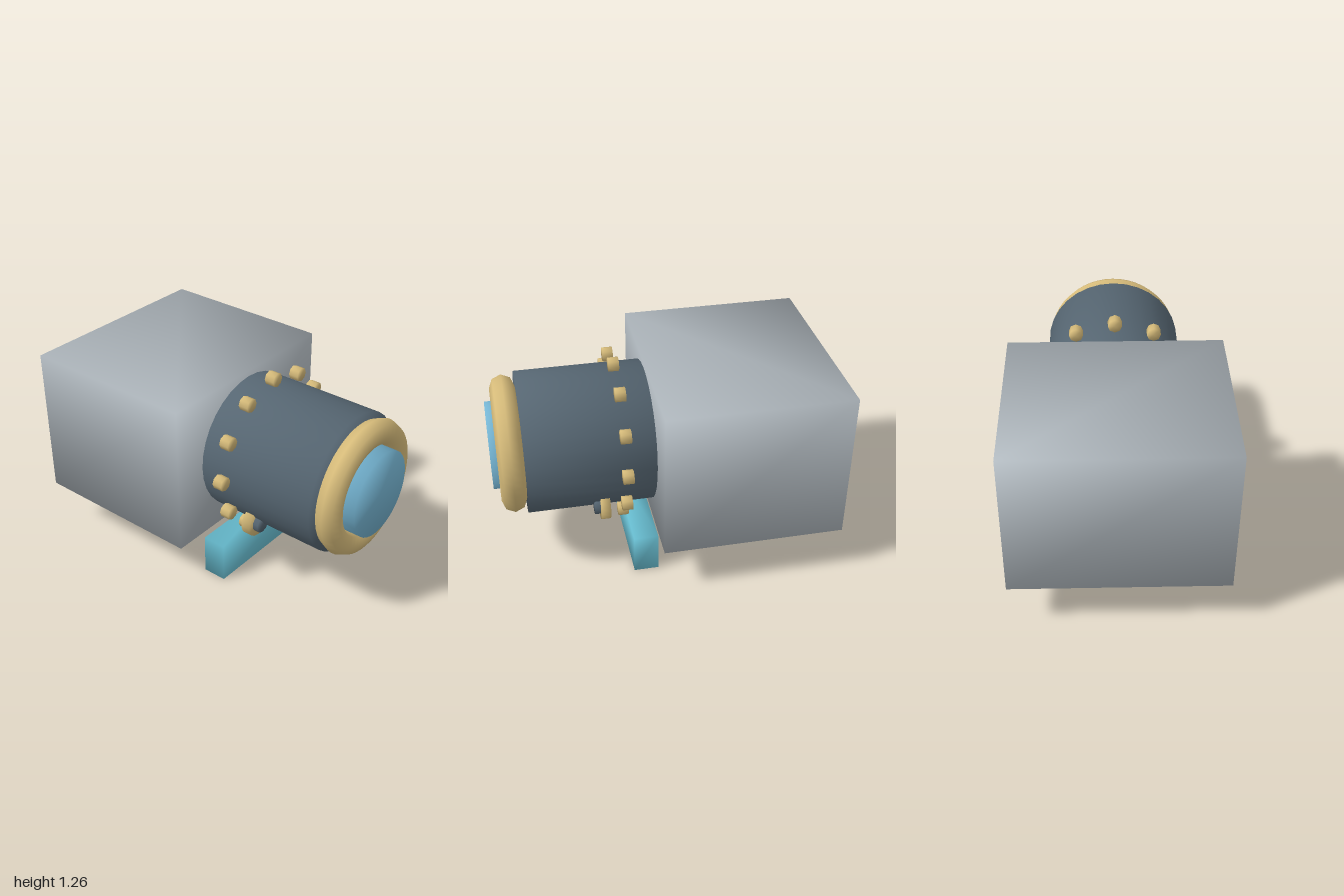
import * as THREE from 'three';
import { mergeVertices } from 'three/addons/utils/BufferGeometryUtils.js';

const mat = (name, color) => {
  const m = new THREE.MeshStandardMaterial({ color });
  m.name = name;
  return m;
};

// Weld all corners so normals blend across every edge
function soften(geometry) {
  geometry.deleteAttribute('normal');
  geometry.deleteAttribute('uv');
  const g = mergeVertices(geometry, 1e-4);
  g.computeVertexNormals();
  return g;
}

const box = (w, h, d) => soften(new THREE.BoxGeometry(w, h, d));

// Cylinder lying along z
const drum = (r, length, sides) =>
  soften(new THREE.CylinderGeometry(r, r, length, sides).rotateX(Math.PI / 2));

export function createModel() {
  const group = new THREE.Group();
  const grey = mat('light grey', 0xb0b8be);
  const slate = mat('slate', 0x566672);
  const brass = mat('brass', 0xd6bb7a);
  const glass = mat('blue glass', 0x76b6d4);
  const aqua = mat('aqua', 0x6cc4d8);

  const add = (name, geometry, material, x, y, z) => {
    const mesh = new THREE.Mesh(geometry, material);
    mesh.name = name;
    mesh.position.set(x, y, z);
    group.add(mesh);
    return mesh;
  };

  const axisY = 0.755;

  // Housing and foot
  add('housing', box(1.25, 0.912, 1.075), grey, 0, 0.753, -0.4625);
  add('foot', box(0.816, 0.246, 0.146), aqua, 0, 0.123, 0.142);

  // Barrel, front ring and lens
  add('barrel', drum(0.42, 0.75, 32), slate, 0, axisY, 0.44);
  add('frontRing', soften(new THREE.TorusGeometry(0.331, 0.075, 8, 48)), brass, 0, axisY, 0.888);
  add('lens', drum(0.258, 0.19, 32), glass, 0, axisY, 0.905);

  // Ring of studs around the barrel
  const studGeometry = drum(0.042, 0.06, 8);
  for (let i = 0; i < 12; i++) {
    const a = (i / 12) * Math.PI * 2;
    add('stud', studGeometry, brass, Math.cos(a) * 0.464, axisY + Math.sin(a) * 0.464, 0.252);
  }

  // Pair of small knobs low on the barrel
  const collarGeometry = drum(0.086, 0.055, 16);
  const knobGeometry = drum(0.052, 0.08, 10);
  for (const side of [-1, 1]) {
    add('knobCollar', collarGeometry, brass, side * 0.315, 0.464, 0.373);
    add('knob', knobGeometry, slate, side * 0.315, 0.464, 0.394);
  }
  return group;
}
